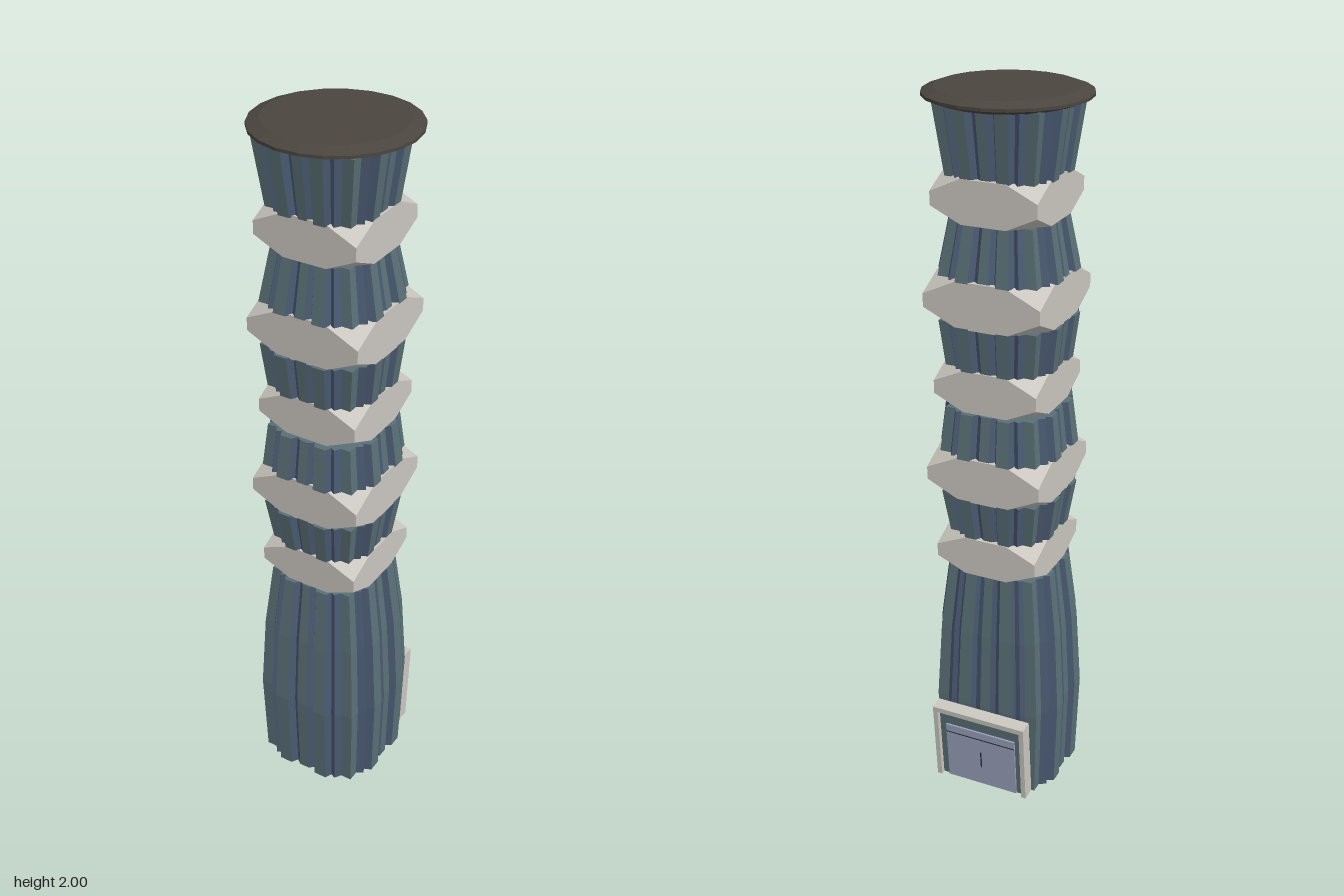
import * as THREE from 'three';
import { ConvexGeometry } from 'three/addons/geometries/ConvexGeometry.js';

const mat = (name, color, extra = {}) => {
  const m = new THREE.MeshStandardMaterial({ color, flatShading: true, ...extra });
  m.name = name;
  return m;
};

export function createModel() {
  const teal = mat('teal wall', 0x5a7076);
  const navy = mat('navy groove', 0x4a5a72);
  const stone = mat('pale stone', 0xcbc7c0);
  const brown = mat('dark brown roof', 0x4b453f);
  const lavender = mat('lavender door', 0x9ca2bd);
  const ink = mat('dark seam', 0x2c323e);

  const model = new THREE.Group();
  const add = (parent, name, geometry, material, x = 0, y = 0, z = 0) => {
    const mesh = new THREE.Mesh(geometry, material);
    mesh.name = name;
    mesh.position.set(x, y, z);
    parent.add(mesh);
    return mesh;
  };

  // One ribbed side of the square plan, corner at (1, 1)
  const half = [[-1, 1], [-0.78, 1], [-0.7, 1.13], [-0.6, 1.08], [-0.54, 1.22],
    [-0.28, 1.22], [-0.2, 1.09], [-0.1, 1.17]];
  const side = [...half, ...half.slice(1).reverse().map(([x, z]) => [-x, z])];

  // Whole plan: the side turned four times; backRelief flattens the ribs at the back
  function plan(backRelief) {
    const points = [];
    for (let k = 0; k < 4; k++) {
      for (const [s, d] of side) {
        let x = s, z = k === 2 ? 1 + (d - 1) * backRelief : d;
        for (let i = 0; i < k; i++) [x, z] = [z, -x];
        points.push([x, z, Math.abs(d)]);
      }
    }
    return points;
  }

  // Loft the plan through [y, half width over the ribs] levels
  function ribbed(levels, backRelief) {
    const outline = plan(backRelief), n = outline.length;
    const flats = [], slopes = [];
    const at = (i, [y, w]) => {
      const p = outline[i % n];
      return [p[0] * w / 1.22, y, p[1] * w / 1.22];
    };
    for (let i = 0; i < n; i++) {
      const flat = outline[i][2] === outline[(i + 1) % n][2];
      const out = flat ? flats : slopes;
      for (let j = 0; j + 1 < levels.length; j++) {
        const a = at(i, levels[j]), b = at(i + 1, levels[j]);
        const c = at(i + 1, levels[j + 1]), d = at(i, levels[j + 1]);
        out.push(...a, ...b, ...c, ...a, ...c, ...d);
      }
      const low = levels[0], high = levels[levels.length - 1];
      flats.push(0, high[0], 0, ...at(i, high), ...at(i + 1, high));
      flats.push(0, low[0], 0, ...at(i + 1, low), ...at(i, low));
    }
    const g = new THREE.BufferGeometry();
    g.setAttribute('position', new THREE.Float32BufferAttribute([...flats, ...slopes], 3));
    g.addGroup(0, flats.length / 3, 0);
    g.addGroup(flats.length / 3, slopes.length / 3, 1);
    g.computeVertexNormals();
    return g;
  }

  // Tower sections
  const sections = [
    ['lowerTower', [[0.01, 0.18], [0.27, 0.189], [0.5, 0.176], [0.69, 0.153]], 0.4],
    ['section1', [[0.8, 0.148], [0.925, 0.168]], 1],
    ['section2', [[1.045, 0.17], [1.17, 0.155]], 1],
    ['section3', [[1.29, 0.153], [1.415, 0.168]], 1],
    ['section4', [[1.535, 0.168], [1.68, 0.14]], 1],
    ['topSection', [[1.79, 0.148], [1.972, 0.174]], 1],
  ];
  for (const [name, levels, relief] of sections) {
    add(model, name, ribbed(levels, relief), [teal, navy], -0.003, 0, 0.004);
  }
  add(model, 'core', new THREE.BoxGeometry(0.2, 1.96, 0.2), teal, 0, 0.98, 0);

  // Stone bands: boxes with all eight corners cut off
  const bands = [[0.69, 0.8, 0.146], [0.922, 1.048, 0.163], [1.175, 1.29, 0.146],
    [1.412, 1.538, 0.163], [1.68, 1.795, 0.146]];
  bands.forEach(([y0, y1, w], i) => {
    const points = [], h = (y1 - y0) / 2, a = w * 0.42;
    for (const sx of [-1, 1]) for (const sy of [-1, 1]) for (const sz of [-1, 1]) {
      points.push(new THREE.Vector3(sx * w, sy * 0.018, sz * w),
        new THREE.Vector3(sx * a, sy * h, sz * w),
        new THREE.Vector3(sx * w, sy * h, sz * a));
    }
    add(model, 'stoneBand' + (i + 1), new ConvexGeometry(points), stone, 0, (y0 + y1) / 2, 0);
  });

  // Flat round roof with a thin bevelled rim
  const rim = [[0, 1.967], [0.18, 1.967], [0.215, 1.98], [0.215, 1.988], [0.182, 2], [0, 2]]
    .map(([r, y]) => new THREE.Vector2(r, y));
  add(model, 'roof', new THREE.LatheGeometry(rim, 22), brown).rotation.y = Math.PI / 2;

  // Doorway on the back, leaning outwards
  const doorway = new THREE.Group();
  doorway.name = 'doorway';
  doorway.position.set(0, 0.01, -0.165);
  doorway.rotation.x = -0.085;
  model.add(doorway);
  for (const s of [-1, 1]) {
    add(doorway, 'doorJamb', new THREE.BoxGeometry(0.014, 0.25, 0.04), stone, s * 0.135, 0.125, 0);
  }
  add(doorway, 'doorLintel', new THREE.BoxGeometry(0.284, 0.016, 0.04), stone, 0, 0.242, 0);
  add(doorway, 'doorRecess', new THREE.BoxGeometry(0.256, 0.234, 0.02), teal, 0, 0.117, 0.004);
  add(doorway, 'door', new THREE.BoxGeometry(0.216, 0.19, 0.006), lavender, 0, 0.095, -0.008);
  add(doorway, 'doorHeaderSeam', new THREE.BoxGeometry(0.216, 0.003, 0.002), ink, 0, 0.165, -0.011);
  add(doorway, 'doorHandle', new THREE.BoxGeometry(0.004, 0.055, 0.002), ink, 0, 0.09, -0.011);

  // Base plate
  add(model, 'basePlate', new THREE.BoxGeometry(0.2, 0.012, 0.2), teal, 0, 0.006, 0);
  return model;
}
